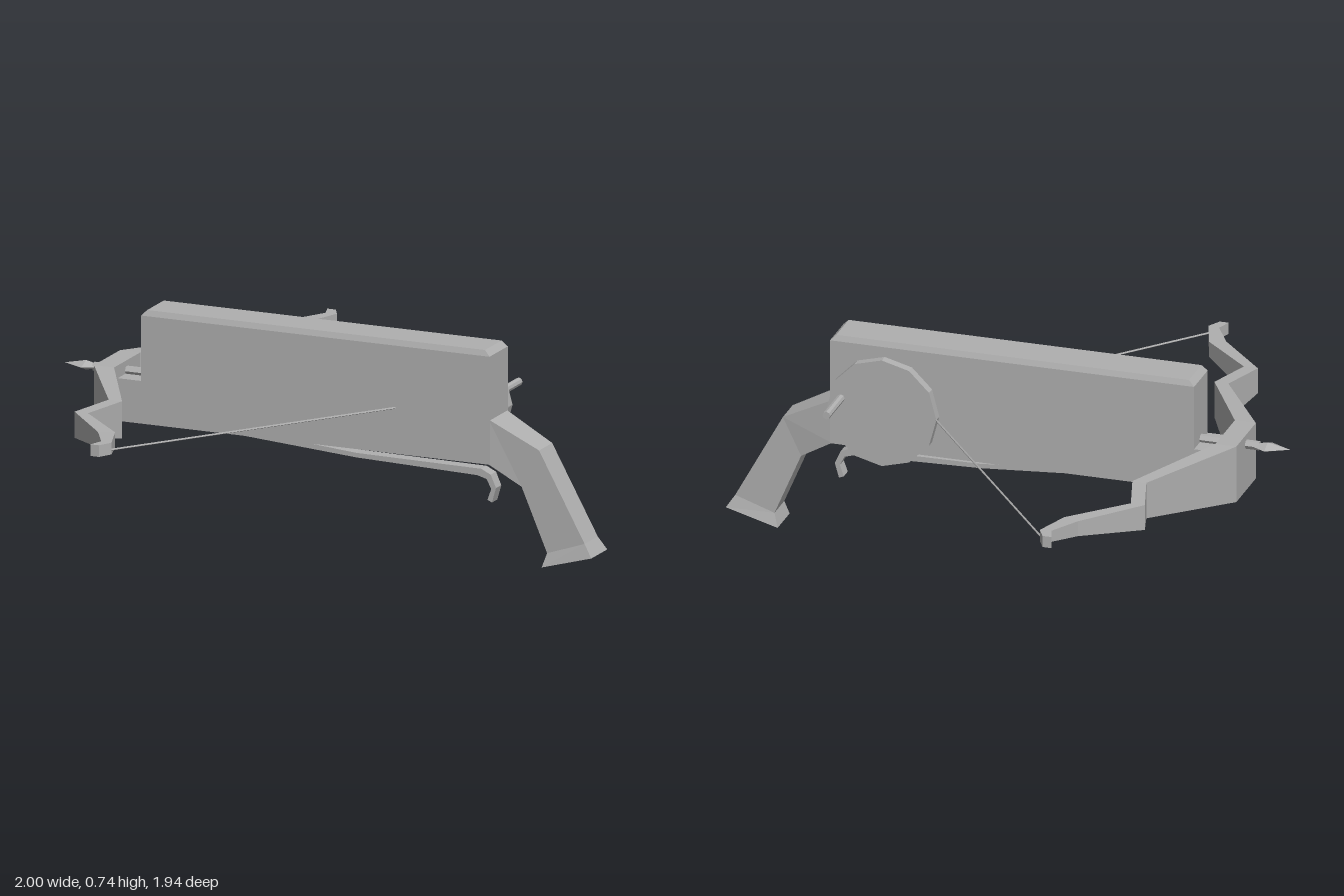
import * as THREE from 'three';

const grey = new THREE.MeshStandardMaterial({ color: 0xb0b0b0, flatShading: true });
grey.name = 'plain grey';
const MID = 0.013; // z of the stock's centre line

// Joins equal-sized rings of [x, y, z] corners into a closed, flat-faced solid.
function loft(rings) {
  const tris = [];
  const n = rings[0].length;
  for (let i = 0; i + 1 < rings.length; i++) {
    for (let j = 0; j < n; j++) {
      const k = (j + 1) % n;
      const a = rings[i][j], b = rings[i][k], c = rings[i + 1][k], d = rings[i + 1][j];
      tris.push([a, b, c], [a, c, d]);
    }
  }
  const first = rings[0], last = rings[rings.length - 1];
  for (let j = 1; j + 1 < n; j++) {
    tris.push([first[0], first[j + 1], first[j]], [last[0], last[j], last[j + 1]]);
  }
  // Turn the faces outward if the enclosed volume is negative.
  let volume = 0;
  const v = tris.map(t => t.map(p => new THREE.Vector3(...p)));
  for (const [a, b, c] of v) volume += a.dot(b.clone().cross(c));
  if (volume < 0) tris.forEach(t => t.reverse());
  const geo = new THREE.BufferGeometry();
  geo.setAttribute('position', new THREE.Float32BufferAttribute(tris.flat(2), 3));
  geo.computeVertexNormals();
  return geo;
}

// Horizontal rectangle ring.
const slab = (x0, x1, y, hw) => [
  [x0, y, MID - hw], [x1, y, MID - hw], [x1, y, MID + hw], [x0, y, MID + hw]];

// Ring across the stock, from an upper point to a lower point.
const across = (xa, ya, xb, yb, hw) => [
  [xa, ya, MID - hw], [xa, ya, MID + hw], [xb, yb, MID + hw], [xb, yb, MID - hw]];

// Rod between two points.
function rod(a, b, r, sides) {
  const p = new THREE.Vector3(...a), q = new THREE.Vector3(...b);
  const dir = q.clone().sub(p);
  const geo = new THREE.CylinderGeometry(r, r, dir.length(), sides);
  geo.applyQuaternion(new THREE.Quaternion().setFromUnitVectors(
    new THREE.Vector3(0, 1, 0), dir.normalize()));
  const m = p.add(q).multiplyScalar(0.5);
  return geo.translate(m.x, m.y, m.z);
}

export function createModel() {
  const model = new THREE.Group();
  model.name = 'crossbow';
  const add = (name, geo, parent = model) => {
    const mesh = new THREE.Mesh(geo, grey);
    mesh.name = name;
    parent.add(mesh);
    return mesh;
  };

  // Tall magazine body with a small bevel around the top
  add('body', loft([
    slab(-0.68, 0.62, 0.345, 0.075),
    slab(-0.68, 0.62, 0.725, 0.075),
    slab(-0.66, 0.6, 0.745, 0.068)]));

  // Low nose that carries the bow
  add('nose', loft([slab(-0.77, -0.67, 0.345, 0.075), slab(-0.77, -0.67, 0.495, 0.075)]));

  // Pistol grip with a flared butt
  add('grip', loft([
    across(0.615, 0.503, 0.615, 0.345, 0.072),
    across(0.795, 0.41, 0.73, 0.275, 0.054),
    across(0.965, 0.1, 0.825, 0.052, 0.054),
    across(0.995, 0.055, 0.81, 0.003, 0.066)]));

  // Bow: stations of front x, z, back x, z, bottom y, top y
  const bow = new THREE.Group();
  bow.name = 'bow';
  model.add(bow);
  const stations = [
    [-0.842, 0.107, -0.767, 0.107, 0.335, 0.54],
    [-0.636, 0.45, -0.586, 0.45, 0.392, 0.523],
    [-0.686, 0.62, -0.636, 0.62, 0.425, 0.517],
    [-0.51, 0.815, -0.455, 0.795, 0.458, 0.513],
    [-0.45, 0.92, -0.41, 0.925, 0.472, 0.513],
    [-0.467, 0.972, -0.435, 0.972, 0.472, 0.513]];
  const ring = (s, side, shift = 0) => {
    const [xf, zf, xb, zb, lo, hi] = s;
    const f = zf * side + shift, b = zb * side + shift;
    return [[xf, lo, f], [xb, lo, b], [xb, hi, b], [xf, hi, f]];
  };
  add('bowCentre', loft([ring(stations[0], -1, 0.011), ring(stations[0], 1, 0.011)]), bow);
  for (const side of [1, -1]) {
    const name = side > 0 ? 'front' : 'rear';
    add(name + 'Limb', loft(stations.map((s, i) => ring(s, side, i === 0 ? 0.011 : 0))), bow);
    add(name + 'String',
      rod([-0.415, 0.488, side * 0.925], [0.27, 0.506, MID + side * 0.07], 0.0035, 5), bow);
  }

  // Bolt resting on the nose
  add('boltShaft', rod([-0.89, 0.505, MID], [-0.65, 0.505, MID], 0.016, 6));
  const head = new THREE.OctahedronGeometry(1);
  const pos = head.attributes.position;
  for (let i = 0; i < pos.count; i++) {
    const x = pos.getX(i);
    pos.setXYZ(i, -0.92 + x * (x < 0 ? 0.08 : 0.075),
      0.506 + pos.getY(i) * 0.017, 0.01 + pos.getZ(i) * 0.042);
  }
  head.computeVertexNormals();
  add('boltHead', head);

  // Long trigger lever under the body, hooked at the back
  const lever = new THREE.Shape([
    [-0.62, 0.348], [-0.3, 0.328], [0.1, 0.3], [0.55, 0.288], [0.585, 0.278],
    [0.602, 0.245], [0.588, 0.205], [0.605, 0.198], [0.62, 0.25], [0.6, 0.295],
    [0.565, 0.312], [0.1, 0.316], [-0.3, 0.348]].map(p => new THREE.Vector2(...p)));
  add('triggerLever', new THREE.ExtrudeGeometry(lever, { depth: 0.044, bevelEnabled: false })
    .translate(0, 0, MID - 0.022));

  // Crank wheel, axle and handle on the rear side
  const crank = new THREE.Group();
  crank.name = 'crank';
  model.add(crank);
  add('wheel', rod([0.417, 0.505, -0.118], [0.417, 0.505, -0.085], 0.195, 12), crank);
  add('axle', rod([0.417, 0.505, -0.09], [0.417, 0.505, -0.05], 0.022, 8), crank);
  add('handle', rod([0.563, 0.542, -0.278], [0.563, 0.542, -0.11], 0.014, 8), crank);

  return model;
}
